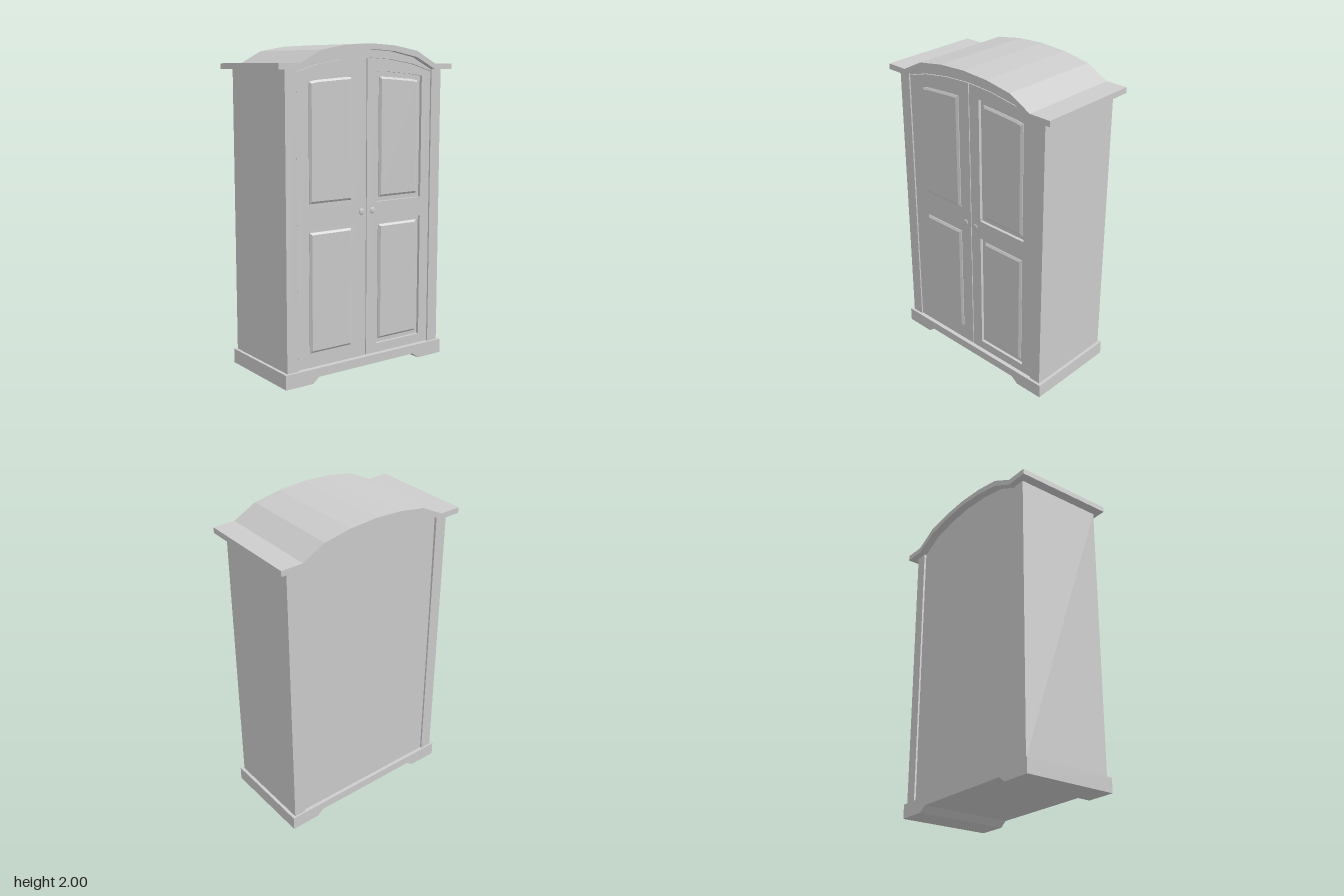
import * as THREE from 'three';

// Arch stations, from the side to the middle
const ARCH_X = [0.5, 0.355, 0.18];

// Points running from +x over the middle to -x, with heights given for the stations and the middle
function arch(heights) {
  const right = ARCH_X.map((x, i) => [x, heights[i]]);
  const left = right.map(([x, y]) => [-x, y]).reverse();
  return [...right, [0, heights[3]], ...left];
}

const toVectors = (points) => points.map(([x, y]) => new THREE.Vector2(x, y));

export function createModel() {
  const group = new THREE.Group();
  const paint = new THREE.MeshStandardMaterial({ color: 0xcccccc });
  paint.name = 'light grey paint';

  function add(name, geometry, x = 0, y = 0, z = 0) {
    const mesh = new THREE.Mesh(geometry, paint);
    mesh.name = name;
    mesh.position.set(x, y, z);
    group.add(mesh);
    return mesh;
  }

  // Flat outline pushed along z between two depths
  function slab(name, points, back, front, holes = []) {
    const shape = new THREE.Shape(toVectors(points));
    for (const hole of holes) shape.holes.push(new THREE.Path(toVectors(hole)));
    const geometry = new THREE.ExtrudeGeometry(shape, { depth: front - back, bevelEnabled: false });
    return add(name, geometry, 0, 0, back);
  }

  // Plinth with a shallow cut-out between the feet
  slab('plinth', [
    [-0.6, 0], [-0.41, 0], [-0.365, 0.035], [0.365, 0.035], [0.41, 0], [0.6, 0],
    [0.6, 0.09], [-0.6, 0.09],
  ], -0.303, 0.312);

  // Arched cornice with flat ends
  const corniceTop = arch([1.885, 1.96, 1.99, 2.0]);
  const corniceUnder = arch([1.85, 1.922, 1.956, 1.968]);
  slab('cornice', [
    [0.64, 1.85], [0.64, 1.885], ...corniceTop, [-0.64, 1.885], [-0.64, 1.85],
    ...corniceUnder.slice().reverse(),
  ], -0.333, 0.33);

  // Carcass: arched core, slightly recessed at the back
  slab('carcass', [[-0.51, 0.08], [0.51, 0.08], ...arch([1.855, 1.927, 1.961, 1.973])], -0.28, 0.27);

  // Frieze between the door tops and the cornice
  const doorTop = arch([1.835, 1.878, 1.905, 1.915]);
  slab('frieze', [
    ...arch([1.855, 1.927, 1.961, 1.973]),
    ...doorTop.map(([x, y]) => [x, y + 0.004]).reverse(),
  ], 0.26, 0.289);

  for (const side of [1, -1]) {
    const label = side > 0 ? 'left' : 'right';
    const mirror = (points) => points.map(([x, y]) => [x * side, y]);

    // Side wall with its front and back posts
    add(label + 'Side', new THREE.BoxGeometry(0.076, 1.77, 0.587), side * 0.542, 0.97, 0.0015);

    // Door frame with two openings
    const lowerOpening = mirror([[0.078, 0.152], [0.43, 0.152], [0.43, 0.93], [0.078, 0.93]]);
    const upperOpening = mirror([
      [0.078, 1.05], [0.43, 1.05], [0.43, 1.81], [0.355, 1.82], [0.18, 1.834], [0.078, 1.838],
    ]);
    slab(label + 'Door', mirror([
      [0.003, 0.094], [0.5, 0.094], [0.5, 1.835], [0.355, 1.878], [0.18, 1.905], [0.003, 1.915],
    ]), 0.265, 0.289, [lowerOpening, upperOpening]);

    // Raised panels with sloping edges
    const panels = {
      LowerPanel: [[0.117, 0.19], [0.393, 0.19], [0.393, 0.893], [0.117, 0.893]],
      UpperPanel: [
        [0.117, 1.09], [0.393, 1.09], [0.393, 1.77], [0.355, 1.777], [0.18, 1.79], [0.117, 1.793],
      ],
    };
    for (const [name, points] of Object.entries(panels)) {
      const geometry = new THREE.ExtrudeGeometry(new THREE.Shape(toVectors(mirror(points))), {
        depth: 0.004, bevelEnabled: true, bevelSize: 0.013, bevelThickness: 0.01, bevelSegments: 1,
      });
      add(label + name, geometry, 0, 0, 0.271);
    }

    // Round knob turned on a short neck
    const knobProfile = toVectors([
      [0.009, 0], [0.009, 0.004], [0.017, 0.006], [0.02, 0.009], [0.018, 0.012], [0.012, 0.014], [0, 0.0145],
    ]);
    const knob = add(label + 'Knob', new THREE.LatheGeometry(knobProfile, 20), side * 0.041, 1.002, 0.288);
    knob.rotation.x = Math.PI / 2;
  }

  return group;
}
